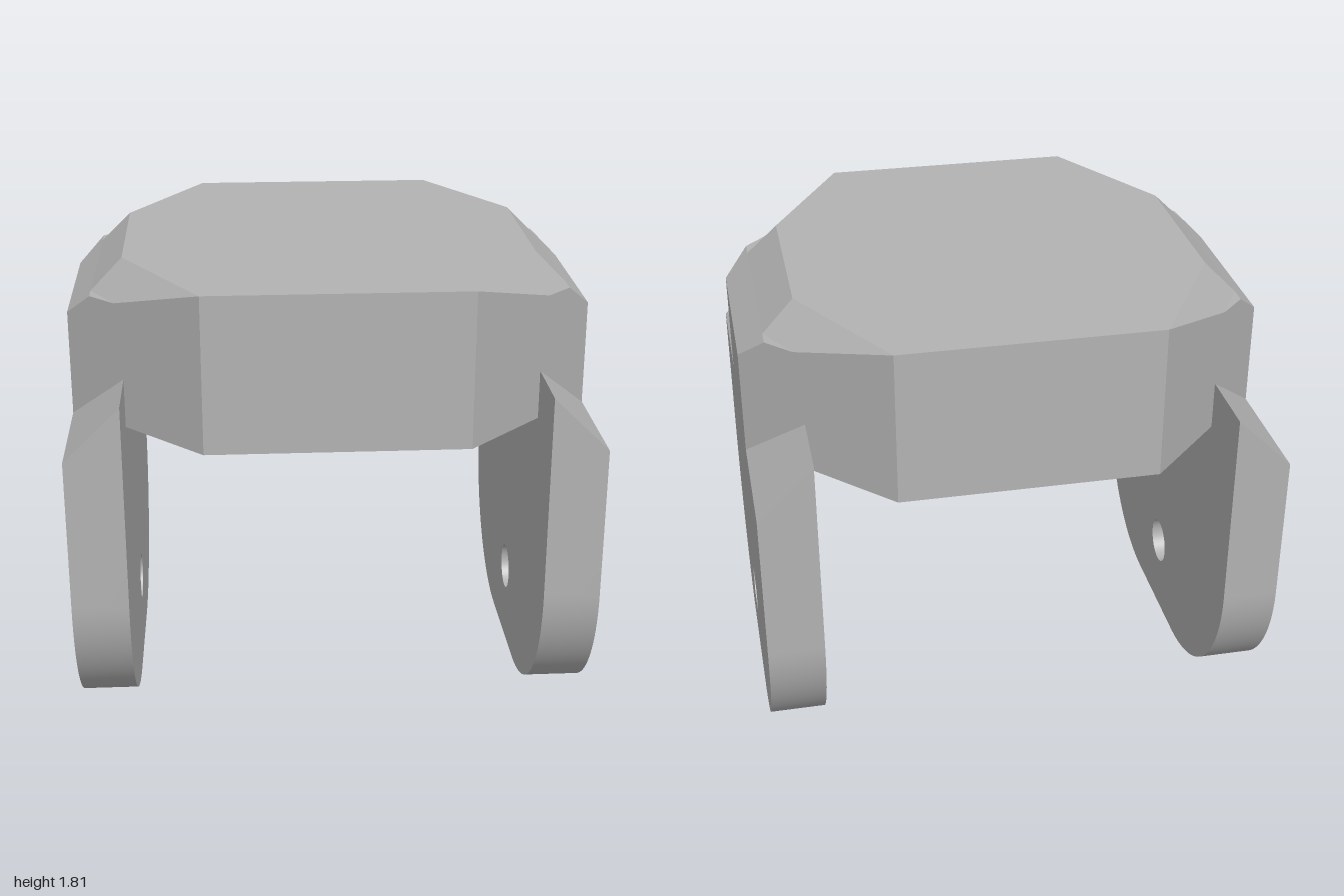
import * as THREE from 'three';
import { toCreasedNormals } from 'three/addons/utils/BufferGeometryUtils.js';
import { ConvexGeometry } from 'three/addons/geometries/ConvexGeometry.js';

const IN = 0.785;    // inner face of the side plates
const HALF = 0.845;  // half depth
const CUT = 0.49;    // half width of the front face after the corner cuts
const SIDE = 0.335;  // half depth of the side face after the corner cuts
const SEAM = IN - (1 - (HALF + CUT - SIDE)) ; // helper width of the corner cut
const MEET = HALF + CUT - IN; // depth where corner cut meets the plate's inner face
const BASE = 1.21, SHOULDER = 1.4, LEDGE = 1.69, TOP = 1.81;

const grey = new THREE.MeshStandardMaterial({ color: 0xb2b2b2 });
grey.name = 'machined grey';

function add(parent, name, geometry) {
  const mesh = new THREE.Mesh(geometry, grey);
  mesh.name = name;
  parent.add(mesh);
  return mesh;
}

// Convex solid from [x, y, z] points mirrored in x and z
function mirroredHull(points) {
  const all = [];
  for (const [x, y, z] of points)
    for (const sx of [-1, 1]) for (const sz of [-1, 1])
      all.push(new THREE.Vector3(x * sx, y, z * sz));
  return new ConvexGeometry(all);
}

// Extrude a (z, y) profile along x
function extrudeX(shape, x0, x1) {
  const g = new THREE.ExtrudeGeometry(shape, { depth: x1 - x0, bevelEnabled: false, curveSegments: 24 });
  g.rotateY(Math.PI / 2);
  g.translate(x0, 0, 0);
  return g;
}

// Side plate with rounded lower corners, pin hole and sloping shoulders
function plateGeometry() {
  const r = 0.6, s = new THREE.Shape();
  s.moveTo(-HALF, SHOULDER);
  s.lineTo(-HALF, r);
  s.absarc(-HALF + r, r, r, Math.PI, Math.PI * 1.5, false);
  s.absarc(HALF - r, r, r, Math.PI * 1.5, Math.PI * 2, false);
  s.lineTo(HALF, SHOULDER);
  s.closePath();
  const hole = new THREE.Path();
  hole.absarc(0, 0.305, 0.093, 0, Math.PI * 2, true);
  s.holes.push(hole);
  const g = extrudeX(s, IN, 1);
  const p = g.attributes.position;
  for (let i = 0; i < p.count; i++)
    if (p.getY(i) > 1.3 && p.getX(i) > 0.9) p.setY(i, 1.19);
  return toCreasedNormals(g, 0.6);
}

export function createModel() {
  const model = new THREE.Group();
  model.name = 'clevisBracket';

  // Crown: top face with slanted sides and corner cuts
  add(model, 'crown', mirroredHull([
    [CUT, LEDGE, HALF], [0.81, LEDGE, 0.525], [0.905, LEDGE, 0.36],
    [CUT, TOP, HALF], [IN, TOP, SIDE],
  ]));

  // Eight-sided block with chamfered sides
  add(model, 'block', mirroredHull([
    [CUT, SHOULDER, HALF], [1, SHOULDER, SIDE], [1, 1.6, SIDE],
    [0.905, LEDGE, HALF + CUT - 0.905], [CUT, LEDGE, HALF],
  ]));

  // Concave underside, concentric with the pin holes
  const cy = 0.305, r = Math.hypot(MEET, BASE - cy), a = Math.atan2(BASE - cy, MEET);
  const arch = new THREE.Shape();
  arch.moveTo(MEET, SHOULDER);
  arch.lineTo(-MEET, SHOULDER);
  arch.lineTo(-MEET, BASE);
  arch.absarc(0, cy, r, Math.PI - a, a, true);
  arch.closePath();
  add(model, 'archedUnderside', toCreasedNormals(extrudeX(arch, -IN, IN), 0.4));

  // Front and back lower rims
  for (const s of [1, -1]) {
    const pts = [];
    for (const y of [BASE, SHOULDER]) for (const sx of [1, -1])
      pts.push(new THREE.Vector3(sx * CUT, y, s * HALF), new THREE.Vector3(sx * IN, y, s * MEET));
    add(model, s > 0 ? 'frontRim' : 'backRim', new ConvexGeometry(pts));
  }

  // Side plates, each with the block's corner cuts carried down to its shoulders
  const plate = plateGeometry();
  const web = [];
  for (const y of [1.19, SHOULDER]) for (const sz of [1, -1])
    web.push(new THREE.Vector3(IN, y + (y < 1.3 ? 0.02 : 0), sz * MEET), new THREE.Vector3(1, y, sz * SIDE));
  const webGeometry = new ConvexGeometry(web);
  for (const s of [1, -1]) {
    const arm = new THREE.Group();
    arm.name = s > 0 ? 'leftArm' : 'rightArm';
    add(arm, 'sidePlate', plate);
    add(arm, 'plateWeb', webGeometry);
    if (s < 0) arm.rotation.y = Math.PI;
    model.add(arm);
  }
  return model;
}
